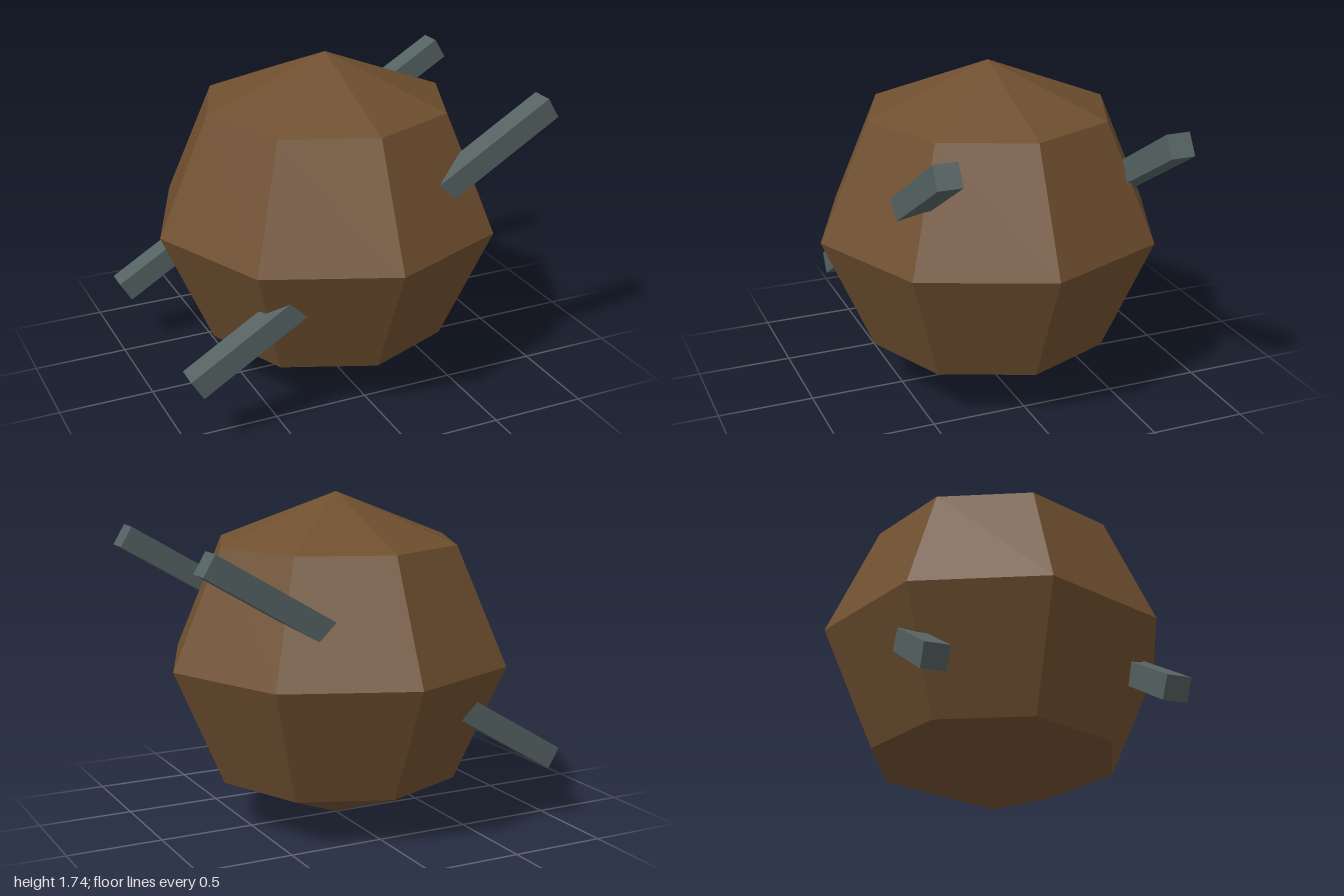
import * as THREE from 'three';

export function createModel() {
  const group = new THREE.Group();
  const brown = new THREE.MeshStandardMaterial({ color: 0x6f4f2f, flatShading: true });
  brown.name = 'brown';
  const slate = new THREE.MeshStandardMaterial({ color: 0x556262, flatShading: true });
  slate.name = 'slate grey';

  // Low-poly body, slightly squashed
  const body = new THREE.Mesh(new THREE.SphereGeometry(0.916, 8, 4), brown);
  body.name = 'body';
  body.scale.y = 0.87 / 0.916;
  body.position.y = 0.87;
  group.add(body);

  // Two parallel slanted bars running through the body, front and back
  const barGeometry = new THREE.BoxGeometry(2.252, 0.121, 0.123);
  for (const side of [1, -1]) {
    const bar = new THREE.Mesh(barGeometry, slate);
    bar.name = side > 0 ? 'frontBar' : 'backBar';
    bar.position.set(0, 0.92, side * 0.583);
    bar.rotation.z = THREE.MathUtils.degToRad(30.9);
    group.add(bar);
  }
  return group;
}
